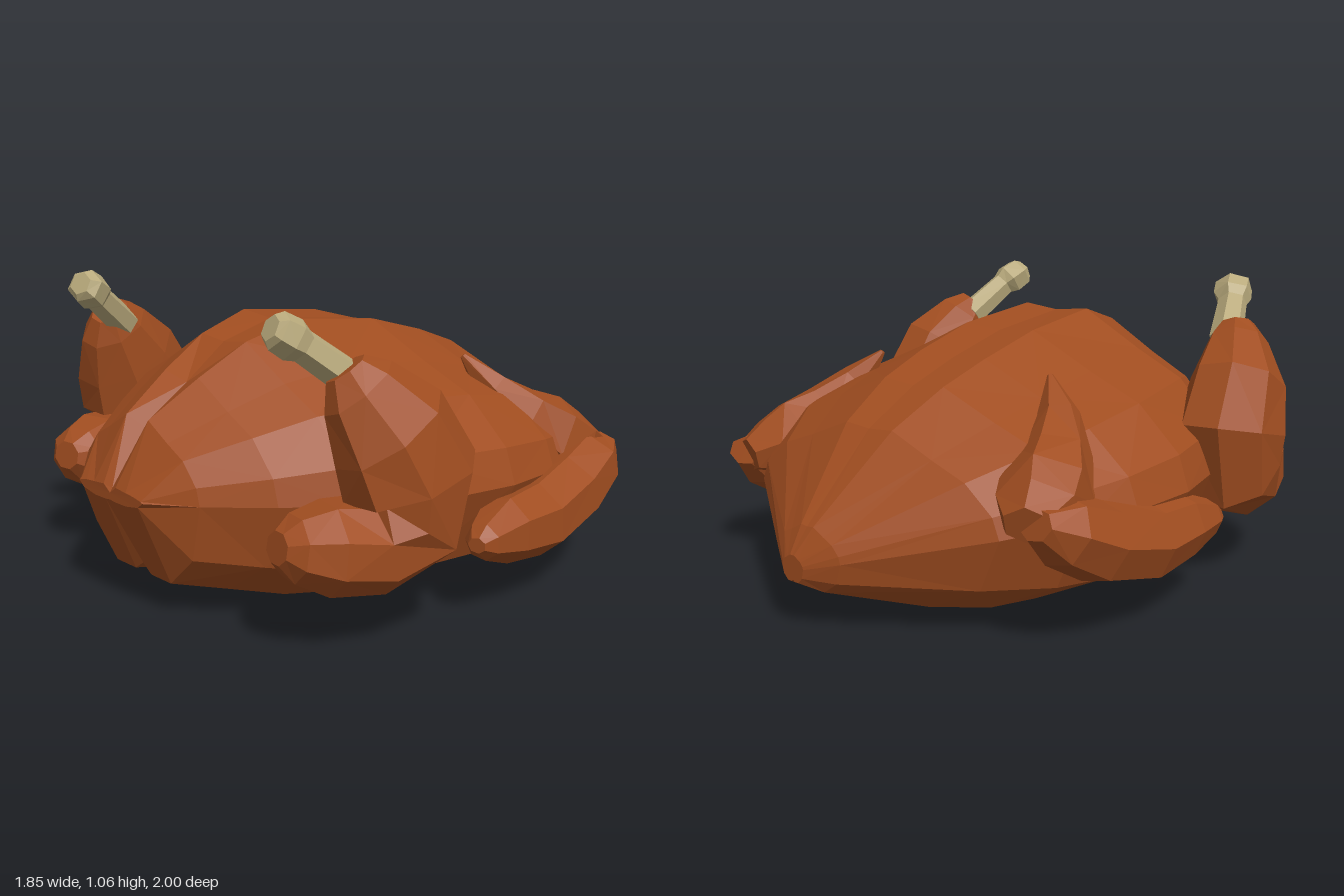
import * as THREE from 'three';

const skin = new THREE.MeshStandardMaterial({ color: 0xa04d20, flatShading: true });
skin.name = 'roasted skin';
const boneMat = new THREE.MeshStandardMaterial({ color: 0xb9aa7c, flatShading: true });
boneMat.name = 'bone';

// Skin a list of closed rings (counter-clockwise about the travel direction) and cap both ends.
function loft(name, rings, material) {
  const n = rings[0].length, pos = [], index = [];
  rings.forEach(r => r.forEach(p => pos.push(p.x, p.y, p.z)));
  for (let i = 0; i < rings.length - 1; i++) {
    for (let j = 0; j < n; j++) {
      const a = i * n + j, b = i * n + (j + 1) % n, c = b + n, d = a + n;
      if ((i + j) % 2) index.push(a, b, c, a, c, d);
      else index.push(a, b, d, b, c, d);
    }
  }
  [0, rings.length - 1].forEach((k, end) => {
    const c = rings[k].reduce((s, p) => s.add(p), new THREE.Vector3()).divideScalar(n);
    const ci = pos.length / 3;
    pos.push(c.x, c.y, c.z);
    for (let j = 0; j < n; j++) {
      const a = k * n + j, b = k * n + (j + 1) % n;
      if (end) index.push(ci, a, b);
      else index.push(ci, b, a);
    }
  });
  const geo = new THREE.BufferGeometry();
  geo.setAttribute('position', new THREE.Float32BufferAttribute(pos, 3));
  geo.setIndex(index);
  geo.computeVertexNormals();
  const mesh = new THREE.Mesh(geo, material);
  mesh.name = name;
  return mesh;
}

// Limb along stations [x, y, z, sideways radius, in-plane radius], mirrored by side and moved by offset.
function limb(name, stations, side, offset, material, sides = 8) {
  const c = stations.map(([x, y, z]) =>
    new THREE.Vector3(side * (x + offset[0]), y + offset[1], z + offset[2]));
  const rings = c.map((p, i) => {
    const t = c[Math.min(i + 1, c.length - 1)].clone().sub(c[Math.max(i - 1, 0)]).normalize();
    const u = new THREE.Vector3(1, 0, 0);
    u.addScaledVector(t, -u.dot(t)).normalize();
    const v = t.clone().cross(u);
    return Array.from({ length: sides }, (_, j) => {
      const a = (j + 0.5) / sides * Math.PI * 2;
      return p.clone().addScaledVector(u, Math.cos(a) * stations[i][3] * 1.05)
        .addScaledVector(v, Math.sin(a) * stations[i][4] * 1.05);
    });
  });
  return loft(name, rings, material);
}

// Body: one half section, scaled at each station [z, half width, top, middle, bottom, crease depth, centre x].
function body() {
  const half = [[0, -0.9], [0.14, -1], [0.48, -1], [0.86, -0.63], [1, 0], [0.95, 0.25],
    [0.75, 0.57], [0.5, 0.75], [0.19, 1], [0, 0.97]];
  const last = half.length - 1;
  const stations = [
    [-1, 0.05, 0.27, 0.23, 0.18, 0, 0.05],
    [-0.95, 0.15, 0.36, 0.26, 0.15, 0, 0.03],
    [-0.68, 0.56, 0.64, 0.36, 0.07, 0, 0.015],
    [-0.48, 0.72, 0.76, 0.4, 0.03, 0, 0],
    [-0.28, 0.79, 0.83, 0.41, 0.01, 0, 0],
    [-0.02, 0.82, 0.9, 0.42, 0.01, 0, 0],
    [0.34, 0.76, 0.94, 0.43, 0.02, 0, 0.01],
    [0.54, 0.62, 0.88, 0.43, 0.04, 0, 0],
    [0.72, 0.48, 0.78, 0.43, 0.09, 0.02, 0],
    [0.89, 0.32, 0.66, 0.43, 0.13, 0.05, -0.015],
    [1, 0.18, 0.45, 0.43, 0.4, 0.01, -0.025],
  ];
  const rings = stations.map(([z, w, top, mid, bot, dip, cx]) => {
    const section = [...half, ...half.slice(1, -1).reverse().map(([x, y]) => [-x, y])];
    return section.map(([x, y], i) => new THREE.Vector3(
      cx + x * w,
      mid + y * (y > 0 ? top - mid : mid - bot) - (i === last ? dip : 0),
      i === last ? z - dip : z));
  });
  return loft('body', rings, skin);
}

// Folded leg from ankle, round the knee and forward to the thigh end.
const LEG = [
  [0.66, 0.88, 0.61, 0.06, 0.07],
  [0.685, 0.82, 0.58, 0.1, 0.13],
  [0.735, 0.69, 0.5, 0.155, 0.2],
  [0.755, 0.53, 0.42, 0.175, 0.235],
  [0.75, 0.39, 0.43, 0.17, 0.19],
  [0.71, 0.33, 0.55, 0.165, 0.15],
  [0.665, 0.345, 0.7, 0.16, 0.14],
  [0.63, 0.36, 0.8, 0.115, 0.1],
  [0.62, 0.37, 0.85, 0.06, 0.05],
];
const BONE = [
  [0.645, 0.83, 0.56, 0.06, 0.055],
  [0.585, 0.95, 0.71, 0.052, 0.05],
  [0.57, 0.97, 0.735, 0.07, 0.065],
  [0.55, 1.0, 0.78, 0.07, 0.06],
  [0.545, 1.01, 0.8, 0.045, 0.04],
];
// Upper wing runs from its pointed tip on the back to the elbow; lower wing runs forward.
const UPPER_WING = [
  [0.44, 0.78, -0.19, 0.01, 0.01],
  [0.52, 0.67, -0.25, 0.07, 0.06],
  [0.58, 0.56, -0.34, 0.12, 0.11],
  [0.63, 0.48, -0.45, 0.15, 0.14],
  [0.67, 0.44, -0.55, 0.14, 0.11],
  [0.7, 0.42, -0.64, 0.08, 0.06],
];
const LOWER_WING = [
  [0.73, 0.43, -0.64, 0.07, 0.05],
  [0.75, 0.39, -0.54, 0.12, 0.11],
  [0.77, 0.32, -0.38, 0.13, 0.13],
  [0.8, 0.27, -0.15, 0.125, 0.13],
  [0.82, 0.28, 0.04, 0.105, 0.11],
  [0.85, 0.28, 0.18, 0.06, 0.06],
  [0.86, 0.28, 0.22, 0.03, 0.025],
];

export function createModel() {
  const model = new THREE.Group();
  model.name = 'roast chicken';
  model.add(body());
  for (const [label, side, legOff, wingOff] of [
    ['left', 1, [0, 0, 0], [0, 0, 0]],
    ['right', -1, [0, 0.02, -0.05], [-0.03, 0.02, -0.06]],
  ]) {
    const leg = new THREE.Group();
    leg.name = label + 'Leg';
    leg.add(limb(label + 'Drumstick', LEG, side, legOff, skin));
    leg.add(limb(label + 'LegBone', BONE, side, legOff, boneMat, 6));
    const wing = new THREE.Group();
    wing.name = label + 'Wing';
    wing.add(limb(label + 'UpperWing', UPPER_WING, side, wingOff, skin, 6));
    wing.add(limb(label + 'LowerWing', LOWER_WING, side, wingOff, skin, 7));
    model.add(leg, wing);
  }
  return model;
}
